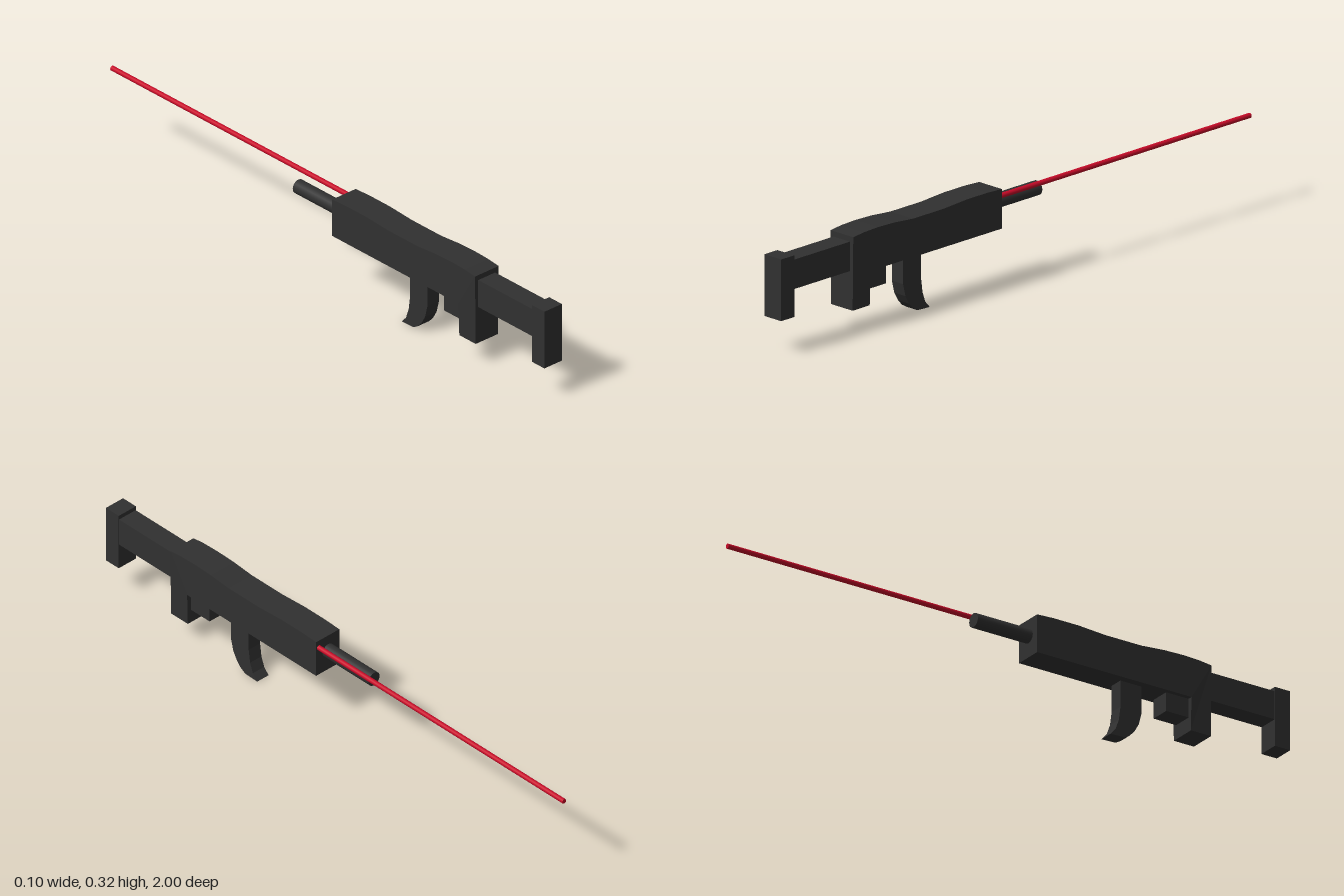
import * as THREE from 'three';

const dark = new THREE.MeshStandardMaterial({ color: 0x303030, flatShading: true });
const darkSmooth = new THREE.MeshStandardMaterial({ color: 0x303030 });
const red = new THREE.MeshStandardMaterial({ color: 0xc80a28 });

export function createModel() {
  const model = new THREE.Group();

  const add = (name, geometry, material = dark) => {
    const mesh = new THREE.Mesh(geometry, material);
    mesh.name = name;
    model.add(mesh);
    return mesh;
  };

  // Side profile given as [z, y] points, extruded across x from x0 to x1
  const sideExtrude = (points, x0, x1) => {
    const shape = new THREE.Shape(points.map(([z, y]) => new THREE.Vector2(-z, y)));
    const g = new THREE.ExtrudeGeometry(shape, { depth: x1 - x0, bevelEnabled: false });
    return g.rotateY(Math.PI / 2).translate(x0, 0, 0);
  };

  const box = (x0, x1, y0, y1, z0, z1) =>
    new THREE.BoxGeometry(x1 - x0, y1 - y0, z1 - z0)
      .translate((x0 + x1) / 2, (y0 + y1) / 2, (z0 + z1) / 2);

  const rod = (radius, x, y, z0, z1, sides) =>
    new THREE.CylinderGeometry(radius, radius, z1 - z0, sides)
      .rotateX(Math.PI / 2).translate(x, y, (z0 + z1) / 2);

  // Receiver and grip in one profile, narrowing slightly towards the bottom
  const body = sideExtrude([
    [0.07, 0.187], [0.07, 0.312], [0.13, 0.315], [0.22, 0.315], [0.32, 0.309], [0.45, 0.309],
    [0.53, 0.316], [0.60, 0.318], [0.66, 0.316], [0.705, 0.311],
    [0.705, 0.078], [0.632, 0.078], [0.632, 0.187],
  ], -0.049, 0.047);
  const p = body.attributes.position;
  for (let i = 0; i < p.count; i++) {
    p.setX(i, p.getX(i) * (0.94 + 0.06 * Math.min(1, (p.getY(i) - 0.078) / 0.11)));
  }
  body.computeVertexNormals();
  add('receiver', body);

  add('triggerGuard', box(-0.034, 0.032, 0.125, 0.2, 0.55, 0.64));

  // Curved magazine sweeping towards the muzzle
  add('magazine', sideExtrude([
    [0.467, 0.2], [0.467, 0.1], [0.457, 0.06], [0.441, 0.032], [0.424, 0.014], [0.405, 0.003],
    [0.353, 0.001], [0.372, 0.022], [0.384, 0.055], [0.39, 0.1], [0.39, 0.2],
  ], -0.025, 0.022));

  // Stock and butt plate
  add('stock', box(-0.036, 0.033, 0.201, 0.294, 0.69, 0.95));
  add('buttPlate', box(-0.037, 0.034, 0.113, 0.308, 0.944, 1));

  // Barrel and sighting beam
  add('barrel', rod(0.023, -0.003, 0.257, -0.13, 0.1, 24), darkSmooth);
  add('laserBeam', rod(0.008, 0.036, 0.287, -1, 0.1, 16), red);

  return model;
}
